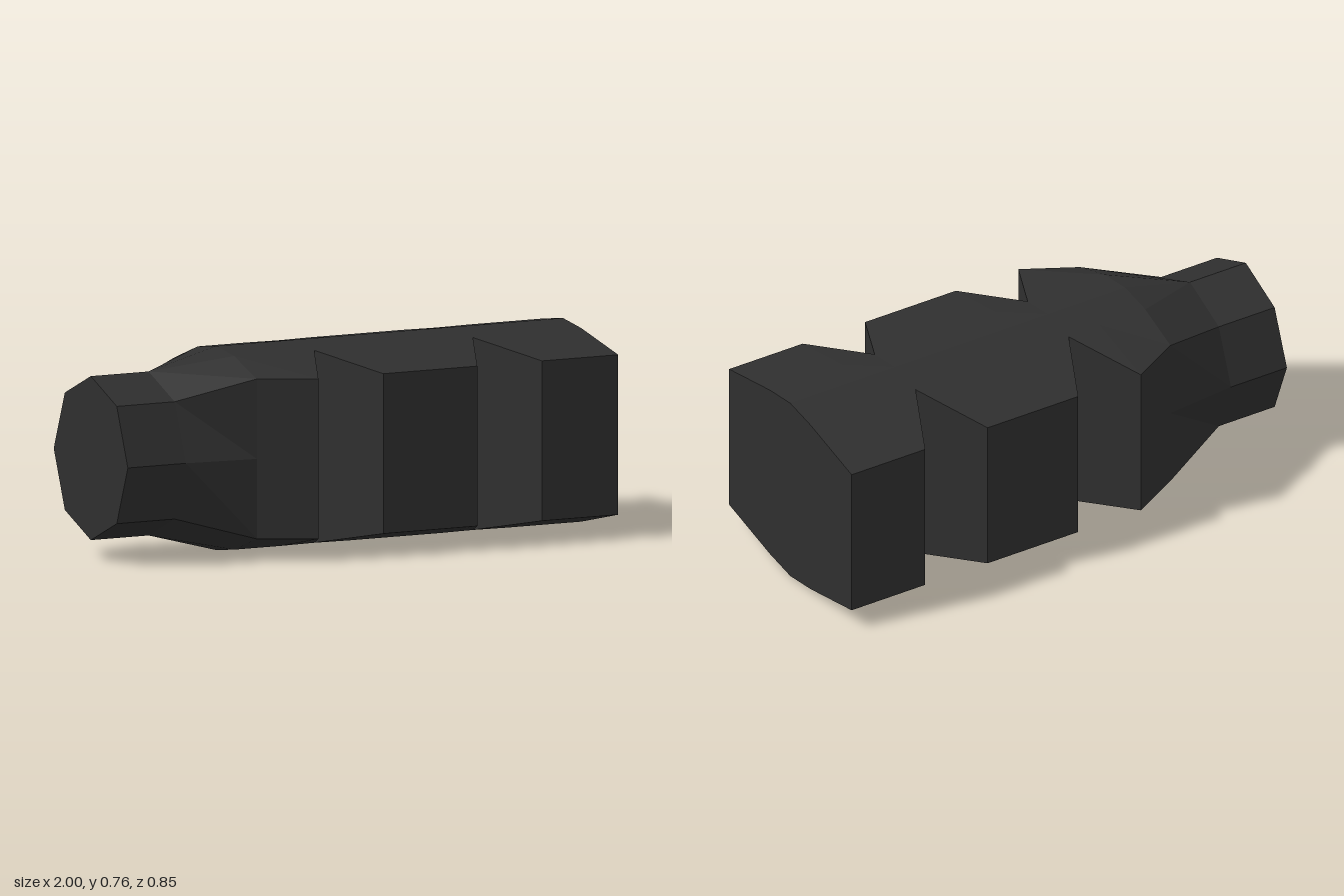
import * as THREE from 'three';

const MID = 0.3825; // height of the long axis

// Twelve-point ring at x, from the top, down the left (+z) side and back up.
// half: [height, z] points from the top to the side; mirrored to fill the ring.
function ring(x, half) {
  const [top, mid, corner, side] = half;
  const quarter = [top, mid, corner, side];
  const front = [...quarter, ...[corner, mid, top].map(([h, z]) => [-h, z])];
  const back = front.slice(1, -1).reverse().map(([h, z]) => [h, -z]);
  return [...front, ...back].map(([h, z]) => new THREE.Vector3(x, MID + h, z));
}

const neckRing = (x) => ring(x, [[0.3075, 0], [0.3075, 0], [0.22, 0.2], [0, 0.285]]);
const bodyRing = (x, w) => ring(x, [[0.3825, 0], [0.363, 0.14], [0.3, w], [0, w]]);
const notchRing = (x) => ring(x, [[0.3825, 0], [0.361, 0.142], [0.361, 0.142], [0, 0.142]]);

// Joins rings running in +x with flat faces, and closes the chosen ends.
function loft(name, rings, material, capStart, capEnd) {
  const pos = [];
  const tri = (a, b, c) => {
    const area = b.clone().sub(a).cross(c.clone().sub(a)).length();
    if (area > 1e-7) for (const p of [a, b, c]) pos.push(p.x, p.y, p.z);
  };
  for (let i = 0; i < rings.length - 1; i++) {
    const r = rings[i], s = rings[i + 1], n = r.length;
    for (let j = 0; j < n; j++) {
      const k = (j + 1) % n;
      tri(r[j], r[k], s[k]);
      tri(r[j], s[k], s[j]);
    }
  }
  const first = rings[0], last = rings[rings.length - 1];
  for (let j = 1; j < first.length - 1; j++) {
    if (capStart) tri(first[0], first[j + 1], first[j]);
    if (capEnd) tri(last[0], last[j], last[j + 1]);
  }
  const geometry = new THREE.BufferGeometry();
  geometry.setAttribute('position', new THREE.Float32BufferAttribute(pos, 3));
  geometry.computeVertexNormals();
  const mesh = new THREE.Mesh(geometry, material);
  mesh.name = name;
  return mesh;
}

export function createModel() {
  const group = new THREE.Group();
  group.name = 'notchedBlock';
  const black = new THREE.MeshStandardMaterial({ color: 0x2f2f2f, flatShading: true });
  black.name = 'charcoal';

  // Eight-sided neck
  group.add(loft('neck', [neckRing(-1), neckRing(-0.755)], black, true, false));

  // Shoulder widening from the neck to the body
  group.add(loft('shoulder', [neckRing(-0.755), bodyRing(-0.47, 0.315), bodyRing(-0.27, 0.425)], black, false, false));

  // Body with two V-shaped notches on each side
  const body = [bodyRing(-0.27, 0.425)];
  for (const x of [-0.132, 0.54]) {
    body.push(notchRing(x), bodyRing(x + 0.137, 0.425));
    if (x < 0) body.push(bodyRing(0.403, 0.425));
  }
  body.push(bodyRing(1, 0.425));
  group.add(loft('notchedBody', body, black, false, true));

  return group;
}
